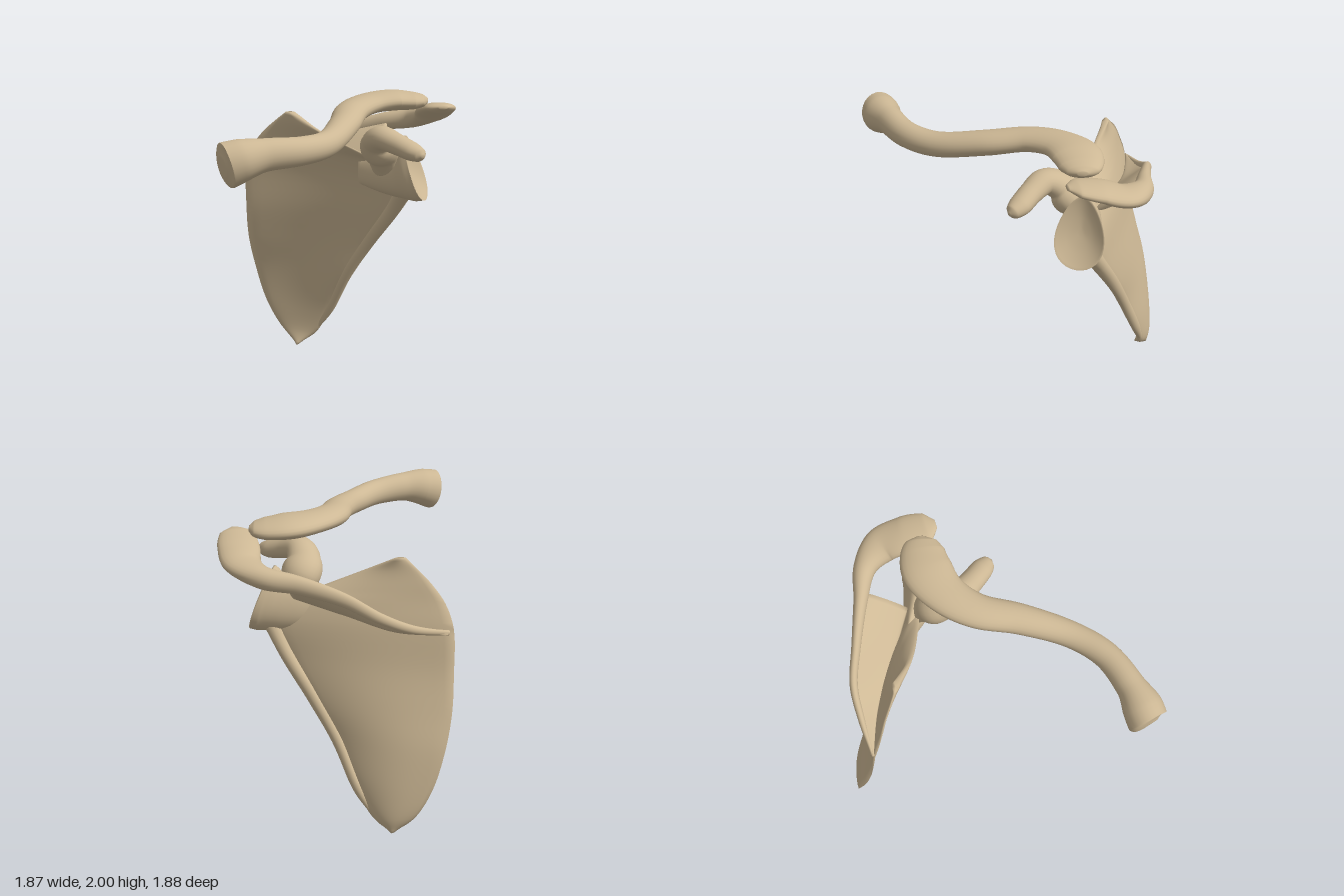
import * as THREE from 'three';

const V = (x, y, z) => new THREE.Vector3(x, y, z);
const curve = (pts) => new THREE.CatmullRomCurve3(pts.map((p) => V(p[0], p[1], p[2])));

// Closed smooth skin through a list of rings, faces turned outward
function loft(rings) {
  const n = rings[0].length, pos = [], idx = [];
  rings.forEach((r) => r.forEach((p) => pos.push(p.x, p.y, p.z)));
  for (let i = 0; i < rings.length - 1; i++) {
    for (let j = 0; j < n; j++) {
      const a = i * n + j, b = i * n + (j + 1) % n;
      idx.push(a, b, a + n, b, b + n, a + n);
    }
  }
  for (const end of [0, rings.length - 1]) {
    const c = V(0, 0, 0);
    rings[end].forEach((p) => c.addScaledVector(p, 1 / n));
    const ci = pos.length / 3;
    pos.push(c.x, c.y, c.z);
    for (let j = 0; j < n; j++) {
      const a = end * n + j, b = end * n + (j + 1) % n;
      if (end === 0) idx.push(ci, b, a); else idx.push(ci, a, b);
    }
  }
  // signed volume tells whether the winding must be flipped
  let vol = 0;
  const at = (i) => V(pos[3 * i], pos[3 * i + 1], pos[3 * i + 2]);
  for (let i = 0; i < idx.length; i += 3) vol += at(idx[i]).dot(at(idx[i + 1]).cross(at(idx[i + 2])));
  if (vol < 0) idx.reverse();
  const g = new THREE.BufferGeometry();
  g.setAttribute('position', new THREE.Float32BufferAttribute(pos, 3));
  g.setIndex(idx);
  g.computeVertexNormals();
  return g;
}

// Swept bone: each point is [x, y, z, half width, half height]
function shaft(pts, { steps = 60, sides = 24, pear = 0, dish = 0 } = {}) {
  const path = curve(pts);
  const size = curve(pts.map((p) => [p[3], p[4], 0]));
  const rings = [];
  const addRing = (t, scale, back) => {
    const tan = path.getTangent(t);
    const side = V(0, 1, 0).cross(tan).normalize();
    const up = tan.clone().cross(side);
    const c = path.getPoint(t).addScaledVector(tan, -back), s = size.getPoint(t);
    rings.push(Array.from({ length: sides }, (_, j) => {
      const a = (j / sides) * Math.PI * 2;
      const w = s.x * scale * Math.cos(a) * (1 - pear * Math.sin(a));
      return c.clone().addScaledVector(side, w).addScaledVector(up, s.y * scale * Math.sin(a));
    }));
  };
  for (let i = 0; i <= steps; i++) addRing(i / steps, 1, 0);
  if (dish) for (const s of [0.93, 0.8, 0.6, 0.4, 0.15]) addRing(1, s, dish * (1 - s * s));
  return loft(rings);
}

// Thin plate spanning two edge curves, bowed along its normal
function plate(edgeA, edgeB, normal, thick, bow, steps = 50, n = 18) {
  const A = curve(edgeA), B = curve(edgeB), nn = normal.clone().normalize(), rings = [];
  for (let i = 0; i <= steps; i++) {
    const v = i / steps, a = A.getPoint(v), b = B.getPoint(v), ring = [];
    for (let j = 0; j < 2 * n; j++) {
      const front = j < n;
      const u = front ? j / n : 2 - j / n;
      const s = Math.max(0, Math.sin(Math.PI * u));
      const off = (front ? 1 : -1) * thick(u, v) * Math.pow(s, 0.5) + bow * s * Math.sin(Math.PI * v);
      ring.push(a.clone().lerp(b, u).addScaledVector(nn, off));
    }
    rings.push(ring);
  }
  return loft(rings);
}

export function createModel() {
  const model = new THREE.Group();
  const bone = new THREE.MeshStandardMaterial({ color: 0xcdb895 });
  bone.name = 'bone';
  const add = (name, geometry, parent) => {
    const m = new THREE.Mesh(geometry, bone);
    m.name = name;
    parent.add(m);
  };

  // S-shaped collarbone
  add('collarbone', shaft([
    [-0.895, 1.735, 0.82, 0.05, 0.06], [-0.87, 1.74, 0.815, 0.125, 0.14],
    [-0.78, 1.765, 0.815, 0.125, 0.128], [-0.64, 1.785, 0.80, 0.093, 0.1],
    [-0.4, 1.785, 0.745, 0.085, 0.088], [-0.2, 1.79, 0.605, 0.085, 0.082],
    [0, 1.85, 0.335, 0.1, 0.078], [0.14, 1.9, 0.09, 0.115, 0.07],
    [0.3, 1.925, -0.04, 0.135, 0.066], [0.48, 1.932, -0.09, 0.16, 0.068],
    [0.62, 1.925, -0.07, 0.14, 0.058], [0.69, 1.925, -0.05, 0.1, 0.04],
    [0.72, 1.928, -0.04, 0.03, 0.015],
  ], { steps: 96 }), model);

  const shoulderBlade = new THREE.Group();
  shoulderBlade.name = 'shoulderBlade';
  model.add(shoulderBlade);

  // Triangular blade, from the lower tip to the upper corner
  add('blade', plate([
    [0, 0.005, -0.825], [-0.1, 0.13, -0.9], [-0.2, 0.33, -0.935], [-0.28, 0.6, -0.935],
    [-0.34, 0.85, -0.89], [-0.365, 1.1, -0.84], [-0.37, 1.4, -0.8], [-0.335, 1.55, -0.74],
    [-0.27, 1.66, -0.68], [-0.2, 1.745, -0.61], [-0.14, 1.81, -0.55],
  ], [
    [0.03, 0.005, -0.81], [0.14, 0.1, -0.75], [0.22, 0.3, -0.67], [0.31, 0.6, -0.53],
    [0.43, 0.85, -0.4], [0.54, 1.1, -0.26], [0.6, 1.32, -0.16], [0.5, 1.46, -0.17],
    [0.36, 1.53, -0.21], [0.08, 1.68, -0.36], [-0.08, 1.805, -0.52],
  ], V(-0.5, -0.15, 0.74),
  (u, v) => 0.016 + 0.012 * u + 0.022 * Math.pow(1 - v, 3), -0.05), shoulderBlade);

  // Thick ridge down the outer border
  add('outerBorder', shaft([
    [0.6, 1.3, -0.13, 0.07, 0.06], [0.55, 1.13, -0.24, 0.05, 0.05],
    [0.43, 0.87, -0.4, 0.036, 0.045], [0.31, 0.6, -0.54, 0.033, 0.04],
    [0.22, 0.3, -0.68, 0.028, 0.035], [0.13, 0.12, -0.76, 0.015, 0.015],
  ], { steps: 40, sides: 16 }), shoulderBlade);

  // Shelf rising backward from the blade
  add('spineShelf', plate(
    [[-0.34, 1.38, -0.8], [-0.05, 1.4, -0.65], [0.2, 1.44, -0.45], [0.47, 1.5, -0.24]],
    [[-0.33, 1.38, -0.81], [0, 1.47, -0.78], [0.3, 1.63, -0.66], [0.6, 1.72, -0.5]],
    V(-0.45, 0.78, 0.44), (u, v) => 0.018 + 0.02 * v, -0.02, 36), shoulderBlade);

  // Crest of the shelf, widening into the flat shoulder tip
  add('crestAndShoulderTip', shaft([
    [-0.34, 1.375, -0.8, 0.01, 0.015], [-0.1, 1.43, -0.785, 0.022, 0.028],
    [0.1, 1.52, -0.755, 0.026, 0.035], [0.3, 1.63, -0.655, 0.03, 0.045],
    [0.55, 1.71, -0.525, 0.045, 0.06], [0.74, 1.745, -0.42, 0.075, 0.07],
    [0.825, 1.79, -0.27, 0.125, 0.058], [0.81, 1.845, -0.12, 0.132, 0.05],
    [0.79, 1.88, 0.02, 0.105, 0.035], [0.785, 1.893, 0.085, 0.03, 0.012],
  ], { steps: 80 }), shoulderBlade);

  // Neck and hollow pear-shaped joint socket
  add('neckAndSocket', shaft([
    [0.32, 1.4, -0.31, 0.02, 0.08], [0.44, 1.41, -0.22, 0.07, 0.14],
    [0.55, 1.425, -0.135, 0.11, 0.185], [0.61, 1.445, -0.085, 0.145, 0.225],
    [0.645, 1.46, -0.06, 0.155, 0.235],
  ], { steps: 30, sides: 36, pear: 0.28, dish: 0.05 }), shoulderBlade);

  // Hook curving up and forward
  add('hook', shaft([
    [0.47, 1.42, -0.17, 0.09, 0.06], [0.43, 1.54, -0.12, 0.11, 0.09],
    [0.36, 1.66, -0.03, 0.11, 0.09], [0.36, 1.705, 0.07, 0.095, 0.08],
    [0.42, 1.68, 0.18, 0.078, 0.07], [0.49, 1.645, 0.28, 0.074, 0.062],
    [0.525, 1.63, 0.34, 0.05, 0.045], [0.535, 1.625, 0.365, 0.012, 0.012],
  ], { steps: 48 }), shoulderBlade);

  return model;
}
